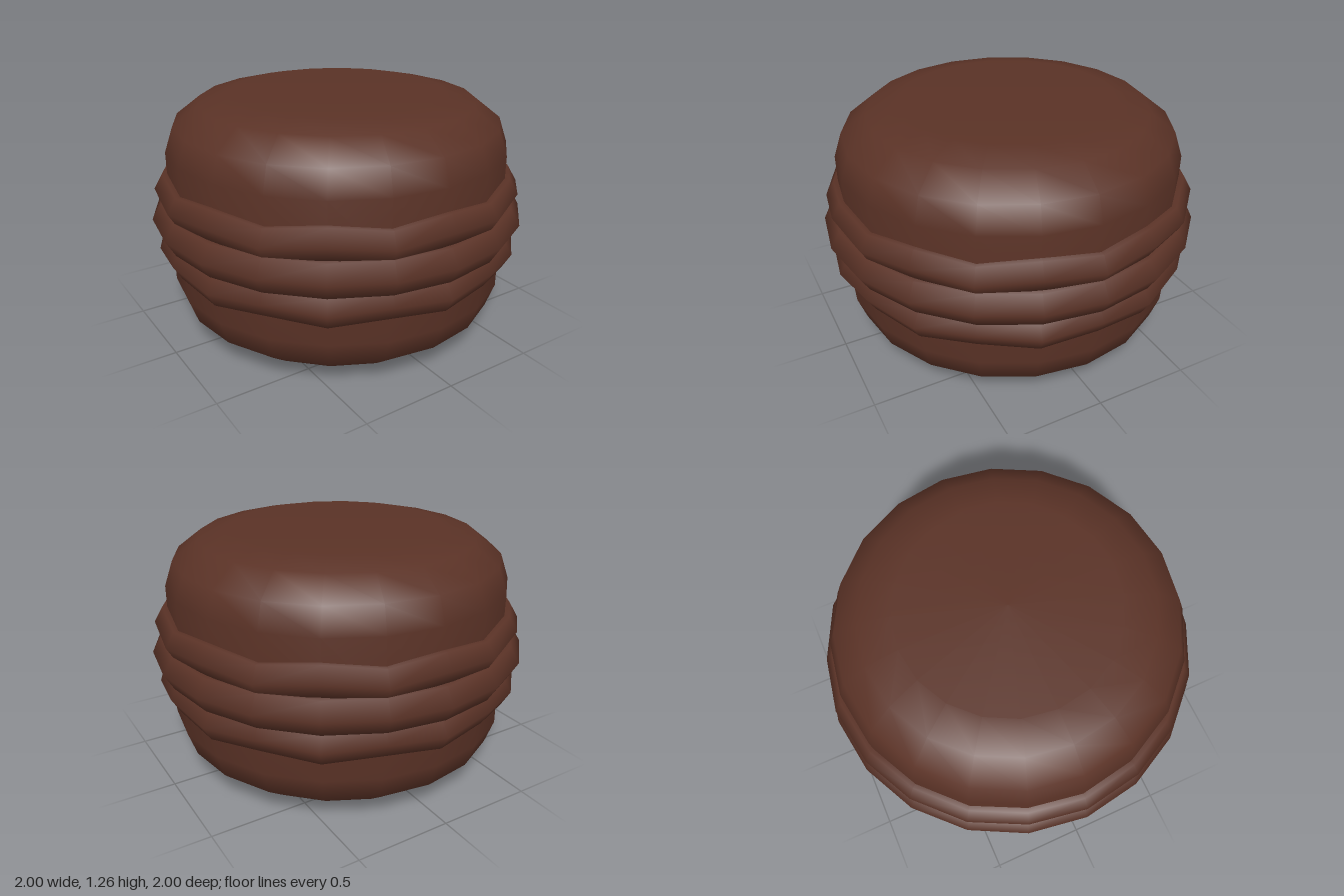
import * as THREE from 'three';
import { mergeVertices } from 'three/addons/utils/BufferGeometryUtils.js';

const SIDES = 20;
const MID = 0.63; // height of the mirror plane between the shells

// Six-sided ring whose height alternates from one side to the next
function ringGeometry(radius, tube, y, wave) {
  let geo = new THREE.TorusGeometry(radius, tube, 6, SIDES);
  geo.rotateX(Math.PI / 2);
  const pos = geo.attributes.position;
  for (let i = 0; i < pos.count; i++) {
    const angle = Math.atan2(pos.getZ(i), pos.getX(i));
    pos.setY(i, pos.getY(i) + y + wave * Math.cos((angle * SIDES) / 2));
  }
  geo.deleteAttribute('uv');
  geo.deleteAttribute('normal');
  geo = mergeVertices(geo);
  geo.computeVertexNormals();
  return geo;
}

// Rounded shell turned from a half profile; heights are measured from MID
function shellGeometry(side) {
  const profile = [[0.905, 0.05], [0.905, 0.36], [0.86, 0.49], [0.73, 0.59], [0.56, 0.63], [0, 0.63]]
    .map(([r, h]) => new THREE.Vector2(r, MID + side * h));
  if (side < 0) profile.reverse();
  return new THREE.LatheGeometry(profile, SIDES);
}

export function createModel() {
  const group = new THREE.Group();
  const chocolate = new THREE.MeshStandardMaterial({ color: 0x5a3226 });
  chocolate.name = 'chocolate';

  const add = (name, geometry) => {
    const mesh = new THREE.Mesh(geometry, chocolate);
    mesh.name = name;
    group.add(mesh);
  };

  // Mirrored shells, each with a ruffled foot
  for (const [side, label] of [[1, 'upper'], [-1, 'lower']]) {
    add(label + 'Shell', shellGeometry(side));
    add(label + 'Ruffle', ringGeometry(0.885, 0.09, MID + side * 0.155, -side * 0.015));
  }

  // Filling bulging out between the shells
  add('filling', ringGeometry(0.9, 0.1, MID, 0));

  return group;
}
